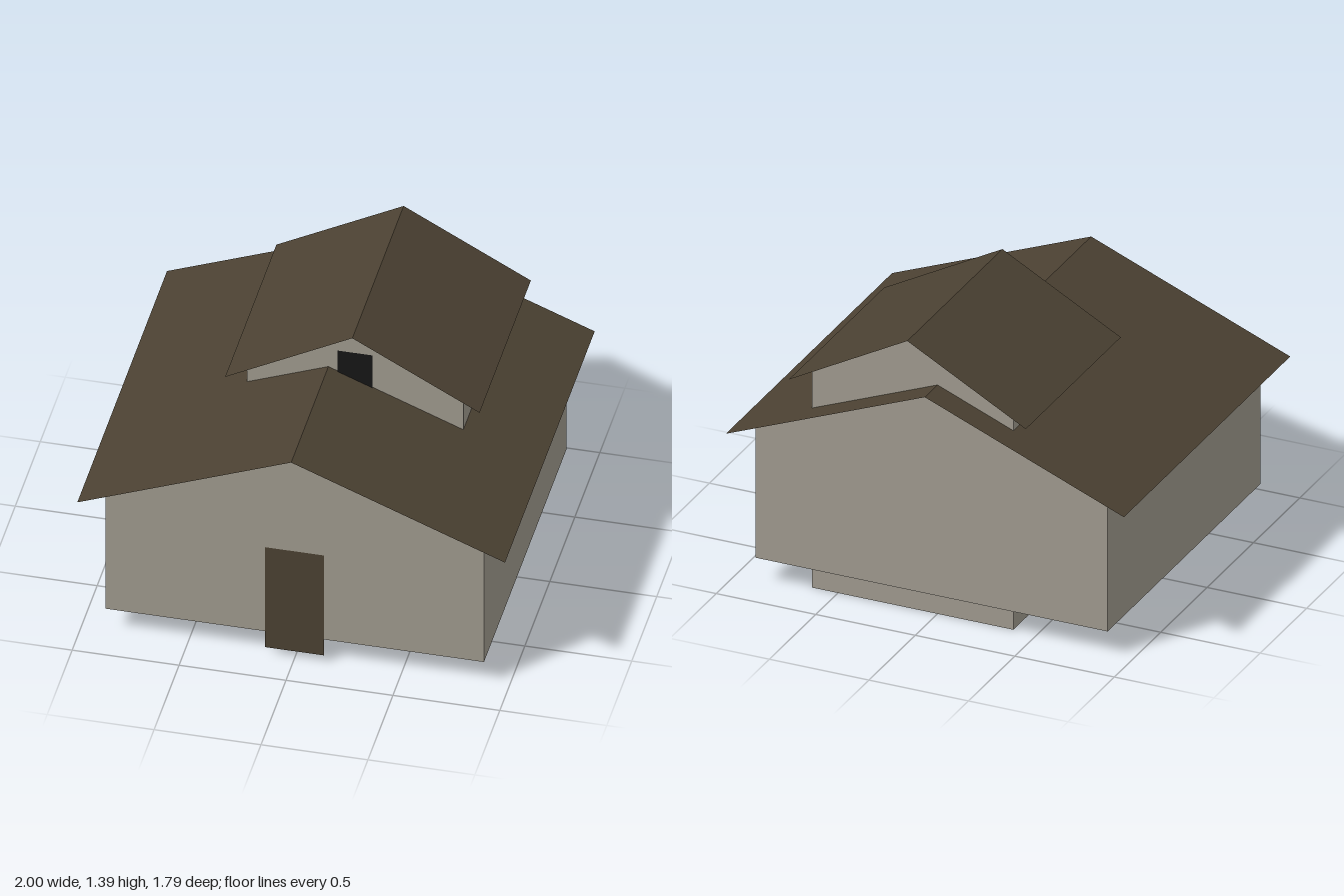
import * as THREE from 'three';

export function createModel() {
  const model = new THREE.Group();
  const sheetMaterial = (name, color) => {
    const material = new THREE.MeshStandardMaterial({ name, color });
    material.side = THREE.DoubleSide;
    return material;
  };
  const wall = sheetMaterial('stone wall', 0x9f9a8e);
  const brown = sheetMaterial('brown wood', 0x4b4132);
  const glass = sheetMaterial('dark glass', 0x161616);

  const add = (name, geometry, material, x = 0, y = 0, z = 0) => {
    const mesh = new THREE.Mesh(geometry, material);
    mesh.name = name;
    mesh.position.set(x, y, z);
    model.add(mesh);
  };

  // Thin walls, open below: a pentagon at each gable end and a plain sheet on each side
  const gableWalls = (name, cx, half, base, eave, ridge, back, front) => {
    const gable = new THREE.Shape([
      [-half, base], [half, base], [half, eave], [0, ridge], [-half, eave],
    ].map(([x, y]) => new THREE.Vector2(x, y)));
    add(name + 'Front', new THREE.ShapeGeometry(gable), wall, cx, 0, front);
    add(name + 'Back', new THREE.ShapeGeometry(gable).rotateY(Math.PI), wall, cx, 0, back);
    for (const side of [-1, 1]) {
      const sheet = new THREE.PlaneGeometry(front - back, eave - base).rotateY(side * Math.PI / 2);
      add(name + (side > 0 ? 'Left' : 'Right'), sheet, wall,
        cx + side * half, (base + eave) / 2, (back + front) / 2);
    }
  };

  // Two thin sloping sheets that meet at the ridge
  const gableRoof = (name, cx, half, eave, ridge, back, front) => {
    for (const side of [-1, 1]) {
      const sheet = new THREE.PlaneGeometry(Math.hypot(half, ridge - eave), front - back);
      sheet.rotateX(-Math.PI / 2);
      sheet.rotateZ(-side * Math.atan2(ridge - eave, half));
      add(name + (side > 0 ? 'Left' : 'Right'), sheet, brown,
        cx + side * half / 2, (eave + ridge) / 2, (back + front) / 2);
    }
  };

  // Main house
  gableWalls('mainWall', 0, 0.885, 0.128, 0.81, 1.16, -0.825, 0.825);
  gableRoof('mainRoof', 0, 1, 0.768, 1.167, -0.897, 0.897);

  // Tall inner block, showing as foundation and upper storey
  gableWalls('upperWall', 0.125, 0.506, 0, 1.115, 1.389, -0.76, 0.152);
  gableRoof('upperRoof', 0.125, 0.595, 1.068, 1.391, -0.818, 0.208);

  // Door and windows
  add('door', new THREE.PlaneGeometry(0.278, 0.57), brown, 0, 0.326, 0.83);
  add('upperWindow', new THREE.PlaneGeometry(0.163, 0.205), glass, 0.125, 1.167, 0.157);
  add('sideWindow', new THREE.PlaneGeometry(0.163, 0.205).rotateY(Math.PI / 2), glass, 0.89, 0.507, 0);

  return model;
}
